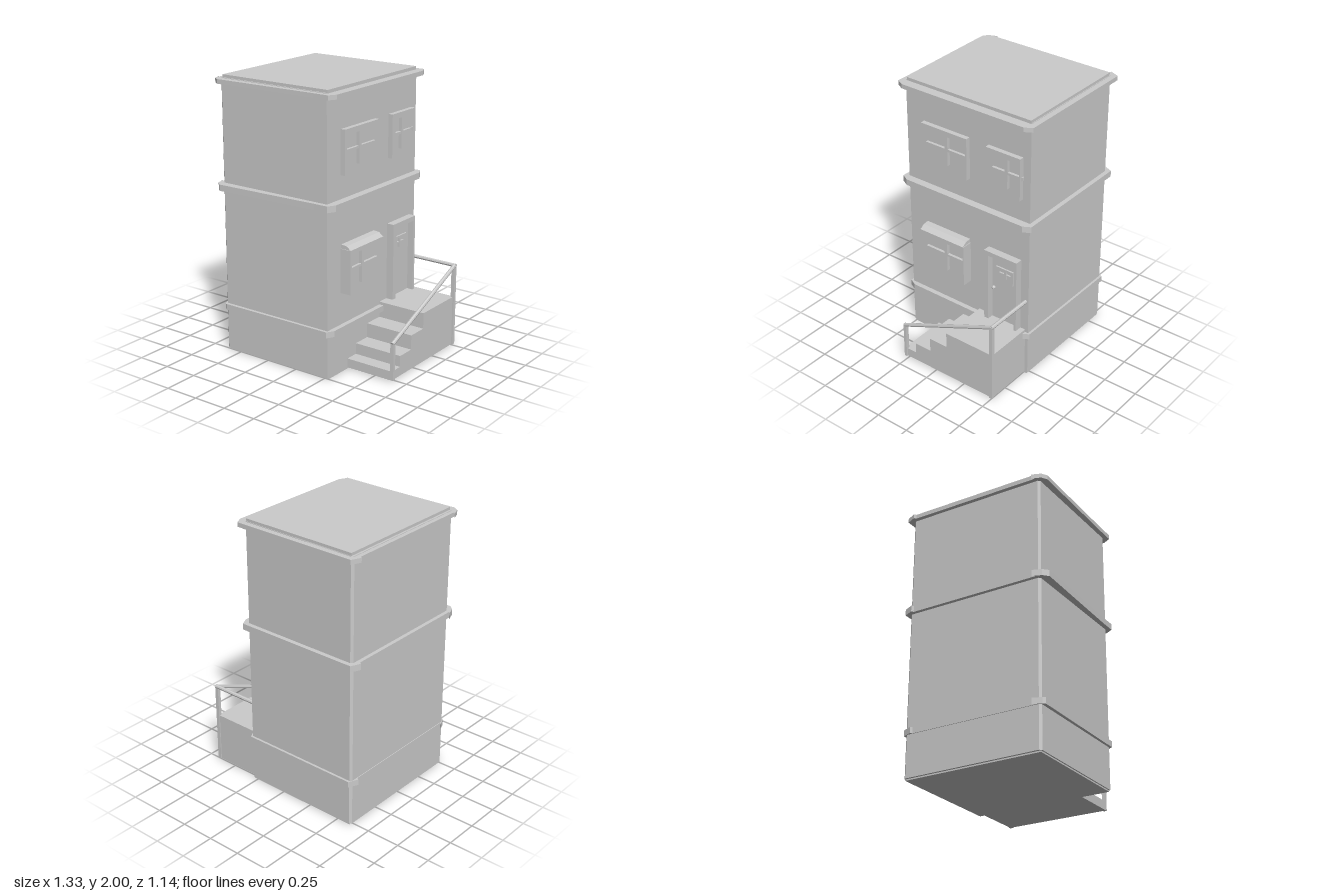
import * as THREE from 'three';

const material = new THREE.MeshStandardMaterial({ color: 0xcccccc, flatShading: true });

export function createModel() {
  const house = new THREE.Group();
  house.name = 'townhouse';

  function add(name, geometry, parent = house) {
    const mesh = new THREE.Mesh(geometry, material);
    mesh.name = name;
    parent.add(mesh);
    return mesh;
  }
  // Box given by its limits on each axis
  function box(name, x0, x1, y0, y1, z0, z1, parent) {
    const g = new THREE.BoxGeometry(x1 - x0, y1 - y0, z1 - z0);
    g.translate((x0 + x1) / 2, (y0 + y1) / 2, (z0 + z1) / 2);
    return add(name, g, parent);
  }
  // Plan outline of [x, z] points raised from y0 to y1
  function slab(name, points, y0, y1) {
    const shape = new THREE.Shape(points.map(([x, z]) => new THREE.Vector2(x, -z)));
    const g = new THREE.ExtrudeGeometry(shape, { depth: y1 - y0, bevelEnabled: false });
    return add(name, g.rotateX(-Math.PI / 2).translate(0, y0, 0));
  }
  // Outline of [z, y] points, with holes, extruded along x from x0 to x1
  function side(name, points, holes, x0, x1, parent) {
    const toVec = ([z, y]) => new THREE.Vector2(-z, y);
    const shape = new THREE.Shape(points.map(toVec));
    shape.holes = holes.map((h) => new THREE.Path(h.map(toVec)));
    const g = new THREE.ExtrudeGeometry(shape, { depth: x1 - x0, bevelEnabled: false });
    return add(name, g.rotateY(Math.PI / 2).translate(x0, 0, 0), parent);
  }
  const rect = ([z0, z1, y0, y1]) => [[z0, y0], [z1, y0], [z1, y1], [z0, y1]];
  function rod(name, a, b, radius) {
    const from = new THREE.Vector3(...a), to = new THREE.Vector3(...b);
    const dir = to.clone().sub(from);
    const mesh = add(name, new THREE.CylinderGeometry(radius, radius, dir.length(), 8));
    mesh.position.copy(from).add(to).multiplyScalar(0.5);
    mesh.quaternion.setFromUnitVectors(new THREE.Vector3(0, 1, 0), dir.normalize());
  }

  // Window data: frame and opening limits as [z0, z1, y0, y1]
  const windows = [
    { name: 'upperWideWindow', frame: [-0.03, 0.36, 1.41, 1.72], open: [-0.02, 0.34, 1.45, 1.68], front: 0.315, bars: 0.285 },
    { name: 'upperNarrowWindow', frame: [-0.47, -0.19, 1.41, 1.72], open: [-0.46, -0.225, 1.45, 1.68], front: 0.315, bars: 0.285 },
    { name: 'bayWindow', frame: [-0.03, 0.36, 0.585, 0.9], open: [-0.02, 0.34, 0.615, 0.87], front: 0.36, bars: 0.31 },
  ];
  const doorPane = [-0.39, -0.285, 0.725, 0.8];

  // Main block, with the entrance wall pierced for the window recesses
  slab('mainBlock', [[-0.605, -0.53], [0.24, -0.53], [0.24, 0.51], [-0.605, 0.51],
    [-0.62, 0.495], [-0.62, -0.515]], 0.01, 1.98);
  side('entranceWall', rect([-0.53, 0.51, 0.01, 1.98]),
    [...windows.map((w) => rect(w.open)), rect(doorPane)], 0.24, 0.28);
  box('roof', -0.605, 0.28, 1.98, 2, -0.525, 0.5);
  box('base', -0.605, 0.28, 0, 0.01, -0.525, 0.5);

  // Horizontal mouldings with clipped corners
  function moulding(name, y0, y1, right, left, back, front, flare) {
    slab(name, [
      [left + 0.015, back], [right - 0.03, back], [right, back + 0.055],
      [right, front - 0.055], [right - 0.03, front], [0.2, front],
      [-0.6, front + flare], [left + 0.01, front - 0.01], [left - 0.015, front - 0.075],
      [left, front - 0.055], [left, back + 0.08], [left - 0.015, back + 0.07],
    ], y0, y1);
  }
  moulding('roofMoulding', 1.945, 1.977, 0.347, -0.65, -0.57, 0.545, 0.015);
  moulding('middleMoulding', 1.2, 1.245, 0.337, -0.647, -0.562, 0.545, 0.025);
  moulding('baseMoulding', 0.312, 0.355, 0.315, -0.625, -0.547, 0.53, 0.005);

  // Crossed glazing bars filling an opening
  function glazing([z0, z1, y0, y1], x, t, parent) {
    const zc = (z0 + z1) / 2, yc = (y0 + y1) / 2;
    box('uprightBar', x - t, x + t, y0, y1, zc - t, zc + t, parent);
    box('crossBar', x - t, x + t * 0.7, yc - t * 0.7, yc + t * 0.7, z0, z1, parent);
  }
  for (const w of windows) {
    const group = new THREE.Group();
    group.name = w.name;
    house.add(group);
    side('frame', rect(w.frame), [rect(w.open)], 0.275, w.front, group);
    glazing(w.open, w.bars, 0.012, group);
  }
  // Small latch beside the narrow window
  box('latch', 0.28, 0.3, 1.555, 1.58, -0.477, -0.465);

  // Sloping cap over the bay window
  const cap = new THREE.Shape([[0.275, 0.9], [0.36, 0.9], [0.325, 0.925], [0.275, 0.93]]
    .map(([x, y]) => new THREE.Vector2(x, y)));
  add('bayCap', new THREE.ExtrudeGeometry(cap, { depth: 0.38, bevelEnabled: false }).translate(0, 0, -0.025));

  // Door: surround, leaf with a small window, and knob
  const door = new THREE.Group();
  door.name = 'door';
  house.add(door);
  side('surround', [[-0.465, 0.375], [-0.465, 0.935], [-0.19, 0.935], [-0.19, 0.375],
    [-0.225, 0.375], [-0.225, 0.9], [-0.447, 0.9], [-0.447, 0.375]], [], 0.275, 0.335, door);
  side('leaf', rect([-0.447, -0.225, 0.375, 0.9]), [rect(doorPane)], 0.28, 0.288, door);
  side('paneFrame', rect([-0.41, -0.265, 0.705, 0.815]), [rect(doorPane)], 0.285, 0.3, door);
  glazing(doorPane, 0.285, 0.007, door);
  add('knob', new THREE.SphereGeometry(0.014, 10, 8), door).position.set(0.305, 0.635, -0.25);

  // Steps and landing in one stepped solid
  side('steps', [[-0.505, 0.01], [0.28, 0.01], [0.28, 0.075], [0.18, 0.075], [0.18, 0.155],
    [0.045, 0.155], [0.045, 0.26], [-0.105, 0.26], [-0.105, 0.375], [-0.505, 0.375]], [], 0.28, 0.65);

  // Handrail
  box('lowerPost', 0.635, 0.662, 0.01, 0.275, 0.258, 0.28);
  box('upperPost', 0.635, 0.662, 0.01, 0.615, -0.512, -0.488);
  rod('slopingRail', [0.65, 0.275, 0.278], [0.65, 0.612, -0.505], 0.014);
  rod('backRail', [0.27, 0.612, -0.505], [0.66, 0.612, -0.505], 0.014);

  return house;
}
